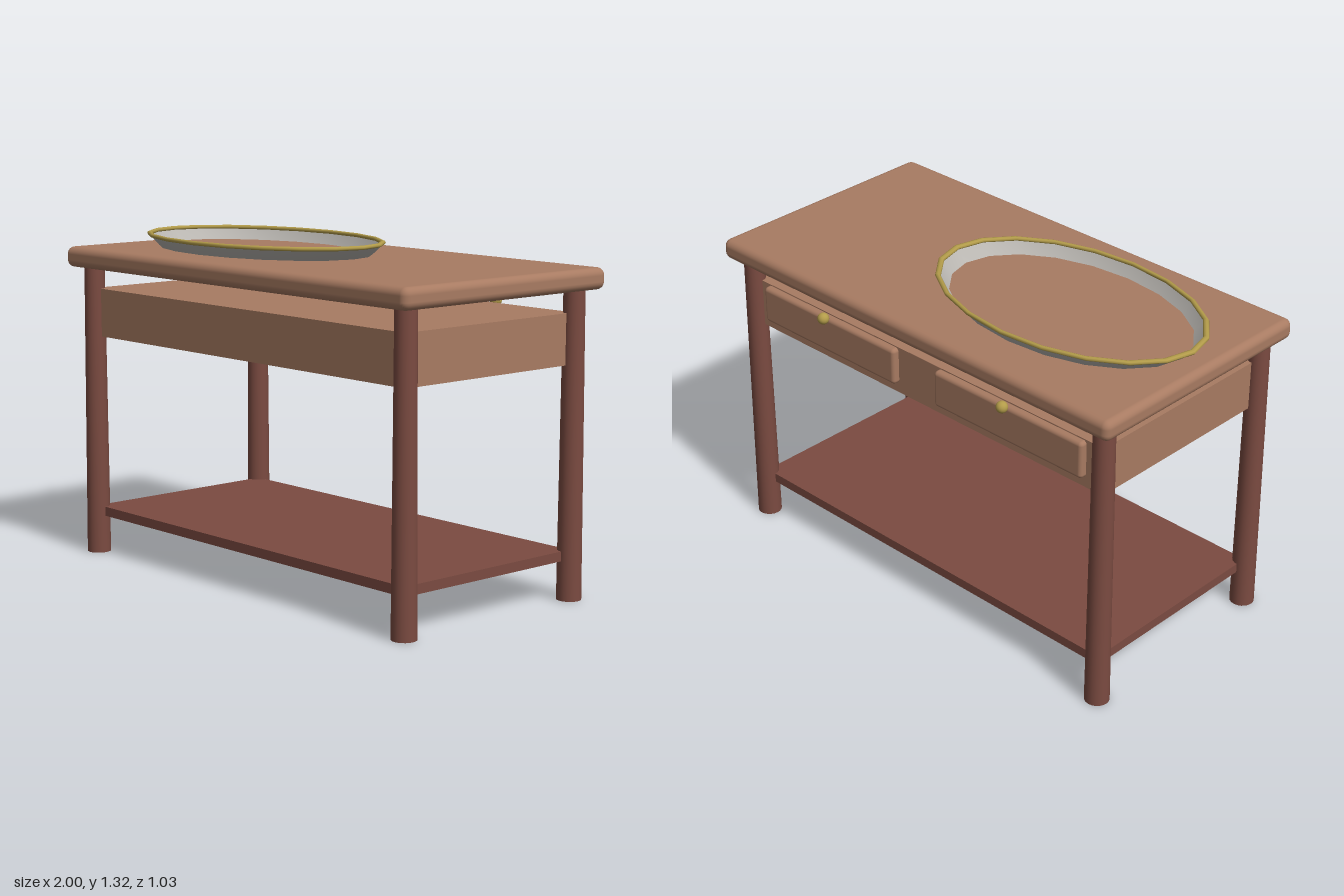
import * as THREE from 'three';
import { RoundedBoxGeometry } from 'three/addons/geometries/RoundedBoxGeometry.js';

const material = (name, color, side = THREE.FrontSide) => {
  const m = new THREE.MeshStandardMaterial({ color, side });
  m.name = name;
  return m;
};

export function createModel() {
  const lightWood = material('light wood', 0xa87b62);
  const darkWood = material('dark wood', 0x7b4b41);
  const gold = material('gold', 0xb39c4a);
  const silver = material('silver', 0xb8b5b0, THREE.DoubleSide);

  const model = new THREE.Group();
  model.name = 'table';
  const add = (name, geometry, mat, x, y, z, parent = model) => {
    const mesh = new THREE.Mesh(geometry, mat);
    mesh.name = name;
    mesh.position.set(x, y, z);
    parent.add(mesh);
    return mesh;
  };

  const legX = 0.915, legZ = 0.43;

  // Table top with softened edges
  add('tableTop', new RoundedBoxGeometry(2, 0.083, 1.03, 3, 0.03), lightWood, 0, 1.22, 0);

  // Drawer case and lower shelf, both reaching to the leg centres
  add('drawerCase', new THREE.BoxGeometry(legX * 2, 0.195, legZ * 2), lightWood, 0, 0.995, 0);
  add('lowerShelf', new THREE.BoxGeometry(legX * 2, 0.038, legZ * 2), darkWood, 0, 0.172, 0);

  // Slightly tapered legs
  const legGeometry = new THREE.CylinderGeometry(0.041, 0.048, 1.185, 20);
  for (const sx of [-1, 1])
    for (const sz of [-1, 1])
      add('leg', legGeometry, darkWood, sx * legX, 0.5925, sz * legZ);

  // Two drawers with round knobs on the back side
  const drawerGeometry = new RoundedBoxGeometry(0.73, 0.15, 0.06, 3, 0.016);
  const knobGeometry = new THREE.SphereGeometry(0.023, 16, 12);
  for (const sx of [-1, 1]) {
    add('drawerFront', drawerGeometry, lightWood, sx * 0.47, 1.013, -0.428);
    add('drawerKnob', knobGeometry, gold, sx * 0.47, 1.094, -0.475);
  }

  // Oval tray: sloping wall, floor set flush in the top, and a rim
  const tray = new THREE.Group();
  tray.name = 'tray';
  tray.position.set(-0.36, 1.2595, 0);
  tray.scale.z = 0.62;
  model.add(tray);
  const wall = [[0.53, 0], [0.558, 0.022], [0.582, 0.047]].map(([r, y]) => new THREE.Vector2(r, y));
  // Start the facets on the long axis so a corner points along x
  add('trayWall', new THREE.LatheGeometry(wall, 20), silver, 0, 0, 0, tray);
  const floor = add('trayFloor', new THREE.CircleGeometry(0.53, 20), silver, 0, 0, 0, tray);
  floor.rotation.x = -Math.PI / 2;
  const rim = add('trayRim', new THREE.TorusGeometry(0.582, 0.013, 8, 20), gold, 0, 0.05, 0, tray);
  rim.rotation.x = Math.PI / 2;
  rim.scale.z = 0.65;

  return model;
}
